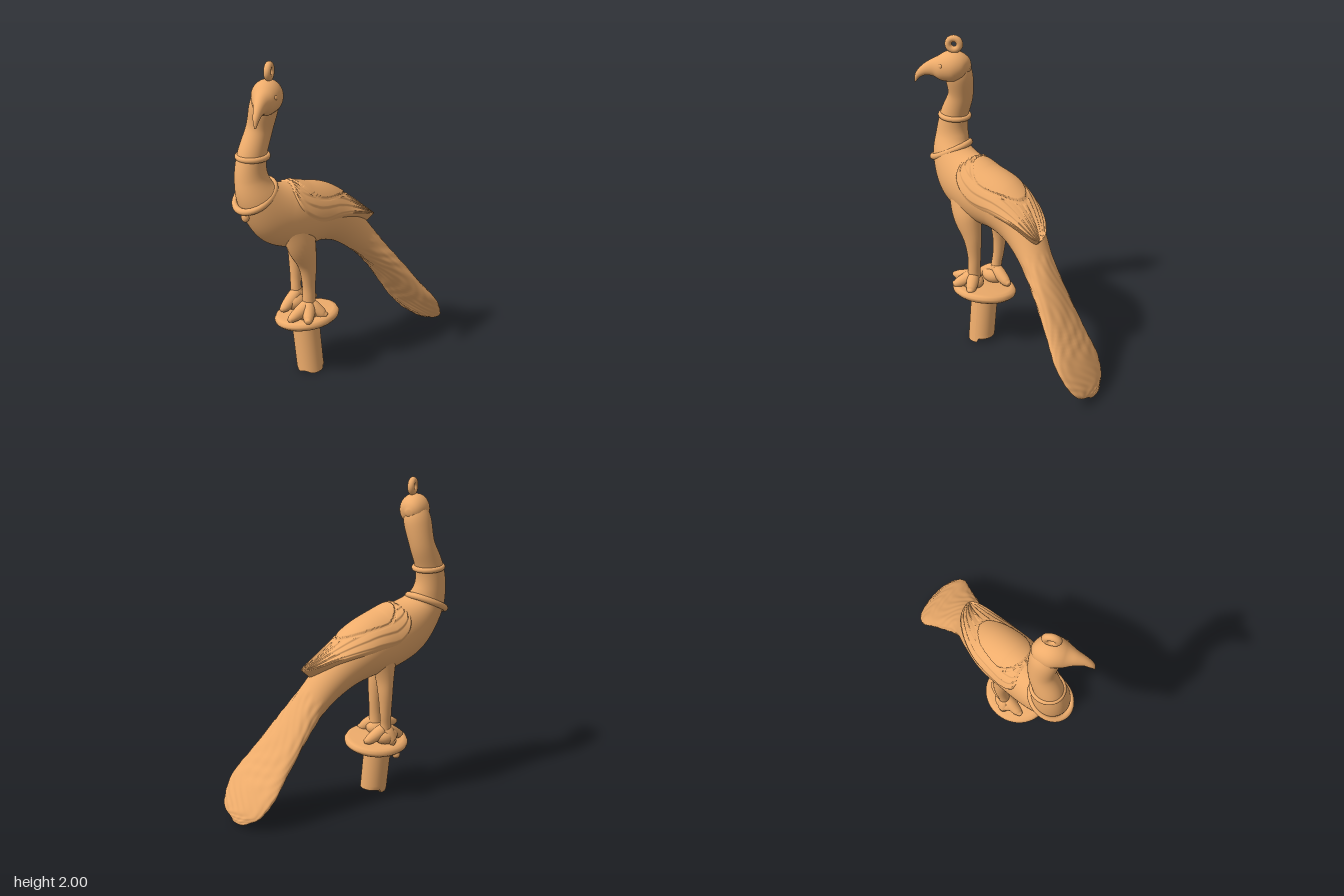
import * as THREE from 'three';
import { mergeVertices } from 'three/addons/utils/BufferGeometryUtils.js';

const V = (x, y, z) => new THREE.Vector3(x, y, z);

// Smooth surface from a rule (u, v) -> point
function grid(rule, nu, nv) {
  const pos = [], index = [];
  for (let i = 0; i <= nu; i++)
    for (let j = 0; j <= nv; j++) pos.push(...rule(i / nu, j / nv, i).toArray());
  for (let i = 0; i < nu; i++)
    for (let j = 0; j < nv; j++) {
      const a = i * (nv + 1) + j, b = a + nv + 1;
      index.push(a, a + 1, b, a + 1, b + 1, b);
    }
  let g = new THREE.BufferGeometry();
  g.setAttribute('position', new THREE.Float32BufferAttribute(pos, 3));
  g.setIndex(index);
  g = mergeVertices(g, 1e-5);
  g.computeVertexNormals();
  return g;
}

// Elliptical sweep through stations [x, y, z, half height, half width]
function sweep(stations, ref = V(0, 0, 1)) {
  const path = new THREE.CatmullRomCurve3(stations.map(s => V(s[0], s[1], s[2])), false, 'catmullrom', 0.5);
  const size = new THREE.CatmullRomCurve3(stations.map(s => V(s[3], s[4] ?? s[3], 0)), false, 'catmullrom', 0.5);
  return (t, ang, off = 0, k = 1) => {
    const p = path.getPoint(t), T = path.getTangent(t), r = size.getPoint(t);
    const side = ref.clone().addScaledVector(T, -ref.dot(T)).normalize();
    const up = side.clone().cross(T);
    return p.addScaledVector(up, Math.cos(ang) * (r.x + off) * k)
      .addScaledVector(side, Math.sin(ang) * (r.y + off) * k);
  };
}

// Closed tube of a sweep, with optional surface relief
function tube(surf, nu, nv, relief = () => 0) {
  return grid((u, v, i) => {
    const t = Math.min(1, Math.max(0, (i - 1) / (nu - 2)));
    const ang = (v === 1 ? 0 : v) * Math.PI * 2;
    return surf(t, ang, relief(t, ang), i === 0 || i === nu ? 0 : 1);
  }, nu, nv);
}

export function createModel() {
  const model = new THREE.Group();
  const mat = new THREE.MeshStandardMaterial({ color: 0xeeac6b });
  const thin = new THREE.MeshStandardMaterial({ color: 0xeeac6b, side: THREE.DoubleSide });
  const add = (name, geo, at = [0, 0, 0], material = mat) => {
    const m = new THREE.Mesh(geo, material);
    m.name = name;
    m.position.set(...at);
    model.add(m);
    return m;
  };

  // Neck, body and fanned tail in one flowing form
  const spine = [
    [-0.465, 1.85, -0.19, 0.05], [-0.475, 1.75, -0.21, 0.086, 0.08],
    [-0.487, 1.6, -0.243, 0.079, 0.076], [-0.545, 1.45, -0.255, 0.09, 0.082],
    [-0.56, 1.32, -0.25, 0.108, 0.092], [-0.535, 1.2, -0.22, 0.135, 0.12],
    [-0.43, 1.09, -0.18, 0.187, 0.145], [-0.28, 1.03, -0.145, 0.193, 0.16],
    [-0.1, 0.985, -0.122, 0.172, 0.157], [0.06, 0.885, -0.075, 0.13, 0.13],
    [0.2, 0.73, -0.01, 0.09, 0.115], [0.33, 0.56, 0.045, 0.065, 0.142],
    [0.47, 0.36, 0.1, 0.052, 0.178], [0.57, 0.22, 0.137, 0.045, 0.205],
    [0.65, 0.1, 0.155, 0.035, 0.168], [0.685, 0.045, 0.16, 0.022, 0.095],
    [0.7, 0.022, 0.165, 0.006, 0.02],
  ];
  const last = spine.length - 1;
  const bodySurf = sweep(spine);
  const dimples = (t, a) => t < 0.62 || t > 0.96 ? 0
    : 0.003 * Math.sin(t * 95 + 3 * Math.sin(a * 2)) * Math.sin(a * 11 + 4 * Math.sin(t * 37));
  add('neckBodyAndTail', tube(bodySurf, 170, 72, dimples));

  // Folded wings: one feathered mantle over the back, drawn out to a tip
  const mantle = grid((u, w) => {
    const t = (5.7 + 3.95 * u) / last;
    const spread = 1.72 * Math.pow(Math.sin(Math.PI * Math.pow(0.02 + 0.979 * u, 0.8)), 0.65);
    const ang = 0.45 * u * u + (w * 2 - 1) * spread;
    const edge = Math.min(1, 12 * Math.min(w, 1 - w), 12 * u);
    const s = Math.abs(w - 0.5);
    // Raised oval on the back, ringed by long overlapping feathers
    const d = Math.hypot((u - 0.44) / 0.27, s / 0.23);
    const f = (s * 11 + u * 0.8) % 1;
    const ridge = d < 1 ? 0.009 : d < 1.13 ? 0 : 0.008 * Math.min(f, (1 - f) * 4);
    return bodySurf(t, ang, -0.014 + edge * (0.02 + ridge + 0.055 * u ** 5));
  }, 100, 150);
  add('foldedWings', mantle, [0, 0, 0], thin);

  // Head with hooked beak
  add('headAndBeak', tube(sweep([
    [-0.392, 1.795, -0.215, 0.02], [-0.425, 1.8, -0.205, 0.07, 0.066], [-0.485, 1.802, -0.178, 0.098, 0.09],
    [-0.55, 1.79, -0.15, 0.084, 0.074], [-0.605, 1.785, -0.128, 0.056, 0.046], [-0.655, 1.768, -0.105, 0.034, 0.028],
    [-0.693, 1.735, -0.09, 0.02, 0.018], [-0.712, 1.69, -0.082, 0.005],
  ]), 48, 32));
  for (const [x, z] of [[-0.525, -0.095], [-0.565, -0.205]])
    add('eye', new THREE.SphereGeometry(0.016, 16, 12), [x, 1.815, z]);

  // Hanging loop on the crown
  add('crownLoop', new THREE.TorusGeometry(0.035, 0.021, 16, 36), [-0.478, 1.943, -0.168]).rotation.y = 0.4;

  // Collars and breast pendant
  const collar = (name, at, r, squash, pipe, tilt) => {
    const g = new THREE.TorusGeometry(r, pipe, 14, 48).rotateX(Math.PI / 2).scale(1, 1, squash);
    add(name, g, at).rotation.z = tilt;
  };
  collar('upperCollar', [-0.54, 1.45, -0.253], 0.09, 0.93, 0.017, -0.03);
  collar('lowerCollar', [-0.557, 1.222, -0.23], 0.136, 0.83, 0.02, 0.47);
  add('pendant', new THREE.SphereGeometry(0.026, 16, 12).scale(0.8, 1.2, 1), [-0.655, 1.12, -0.225]);

  // Legs with broad thighs, each standing on a webbed foot with splayed toes
  const leg = (name, stations, toes) => {
    add(name + 'Leg', tube(sweep(stations), 32, 24));
    const [x, , z] = stations[stations.length - 1];
    const foot = new THREE.SphereGeometry(1, 24, 16).scale(0.08, 0.055, 0.065);
    add(name + 'Foot', foot, [x - 0.015, 0.42, z]);
    toes.forEach(([tx, ty, tz]) => {
      const dx = tx - x, dz = tz - z;
      add(name + 'Toe', tube(sweep([
        [x - dx * 0.1, 0.485, z - dz * 0.1, 0.03], [x + dx * 0.3, 0.445, z + dz * 0.3, 0.04],
        [x + dx * 0.75, ty + 0.008, z + dz * 0.75, 0.031], [tx, ty, tz, 0.014],
      ], V(0, 1, 0)), 20, 16));
    });
  };
  leg('left', [
    [-0.35, 1.0, -0.09, 0.13, 0.07], [-0.335, 0.87, -0.07, 0.1, 0.075], [-0.297, 0.73, -0.06, 0.06, 0.054],
    [-0.285, 0.6, -0.06, 0.043, 0.04], [-0.288, 0.5, -0.06, 0.04], [-0.29, 0.42, -0.06, 0.045],
  ], [[-0.46, 0.415, -0.08], [-0.4, 0.405, 0.02], [-0.25, 0.4, 0.05]]);
  leg('right', [
    [-0.2, 0.98, -0.2, 0.11, 0.07], [-0.2, 0.82, -0.215, 0.06, 0.058], [-0.198, 0.7, -0.225, 0.044, 0.046],
    [-0.205, 0.58, -0.222, 0.036], [-0.215, 0.5, -0.215, 0.034], [-0.215, 0.42, -0.205, 0.04],
  ], [[-0.36, 0.4, -0.22], [-0.25, 0.385, -0.27], [-0.085, 0.405, -0.16]]);

  // Round footplate with rolled rim
  const rim = [[0, -0.032], [0.13, -0.032], [0.178, -0.028], [0.195, -0.012], [0.198, 0.004], [0.188, 0.022], [0.165, 0.028], [0, 0.034]];
  const plate = new THREE.LatheGeometry(rim.map(p => new THREE.Vector2(...p)), 56).scale(1.06, 1, 0.97);
  add('footplate', plate, [-0.243, 0.356, -0.11]).rotation.x = -0.12;
  add('footplateLug', new THREE.SphereGeometry(0.026, 16, 12), [-0.26, 0.3, -0.265]);

  // Leaning post with a ragged lower end
  const post = new THREE.CylinderGeometry(0.086, 0.084, 0.36, 40, 12);
  const p = post.attributes.position;
  for (let i = 0; i < p.count; i++) {
    const x = p.getX(i), y = p.getY(i), z = p.getZ(i);
    const down = 0.5 - y / 0.36;
    if (y < -0.17) p.setY(i, y + (x > 0.02 ? 0.03 : 0) + 0.006 * (1 + Math.sin(z * 70)));
    p.setX(i, x - 0.004 * down);
    p.setZ(i, z + 0.045 * down);
  }
  post.computeVertexNormals();
  add('post', post, [-0.247, 0.18, -0.125]);

  return model;
}
